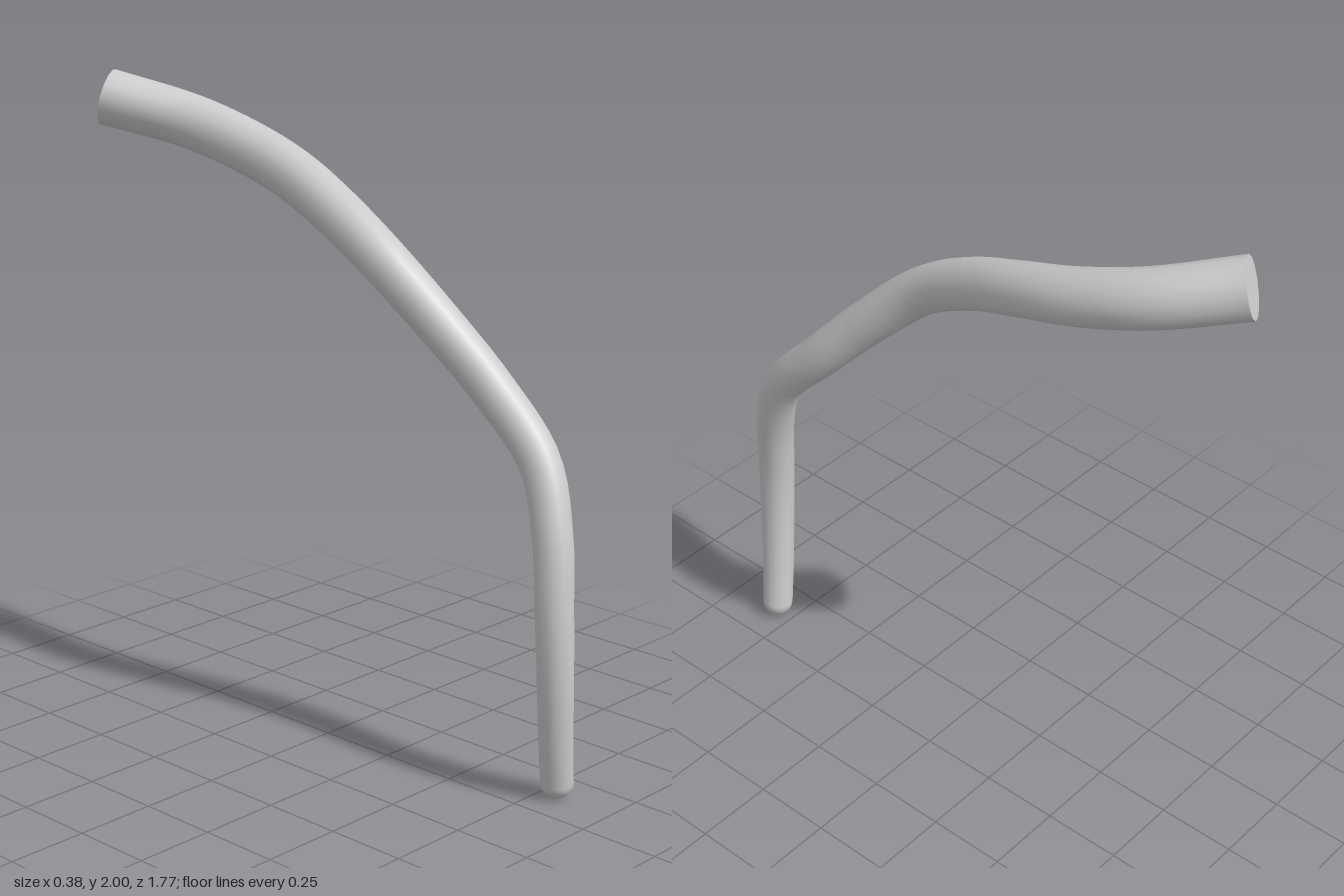
import * as THREE from 'three';

const SIDES = 14, RINGS = 64, R_TIP = 0.05, R_BASE = 0.089;

// Centre line from the rounded tip to the thick cut end
const PATH = [
  [0.12, 0.05, 0.81], [0.097, 0.2, 0.819], [0.078, 0.4, 0.826], [0.075, 0.6, 0.818],
  [0.094, 0.8, 0.79], [0.121, 1.0, 0.715], [0.112, 1.18, 0.55], [0.068, 1.34, 0.4],
  [0.021, 1.525, 0.2], [0.033, 1.64, 0], [0.06, 1.722, -0.2], [0.063, 1.786, -0.4],
  [0.018, 1.85, -0.61], [-0.115, 1.916, -0.838],
].map((p) => new THREE.Vector3(...p));

export function createModel() {
  const group = new THREE.Group();
  const material = new THREE.MeshStandardMaterial({ color: 0xcccccc });
  const add = (name, geometry) => {
    const mesh = new THREE.Mesh(geometry, material);
    mesh.name = name;
    group.add(mesh);
    return mesh;
  };

  // Tapered bent stem: a unit tube whose rings are shrunk to the local radius
  const curve = new THREE.CatmullRomCurve3(PATH);
  const tube = new THREE.TubeGeometry(curve, RINGS, 1, SIDES, false);
  const pos = tube.attributes.position;
  const v = new THREE.Vector3();
  const spokes = [];
  for (let i = 0; i <= RINGS; i++) {
    const centre = curve.getPointAt(i / RINGS);
    const radius = THREE.MathUtils.lerp(R_TIP, R_BASE, i / RINGS);
    for (let j = 0; j <= SIDES; j++) {
      const k = i * (SIDES + 1) + j;
      v.fromBufferAttribute(pos, k).sub(centre);
      if (j === 0) spokes.push(v.clone().normalize());
      v.multiplyScalar(radius).add(centre);
      pos.setXYZ(k, v.x, v.y, v.z);
    }
  }
  add('stem', tube);

  // Rounded tip, lined up with the first ring
  const tip = add('roundedTip', new THREE.SphereGeometry(R_TIP, SIDES, 6, 0, Math.PI * 2, 0, Math.PI / 2));
  const down = curve.getTangentAt(0).negate();
  const basis = new THREE.Matrix4().makeBasis(spokes[0], down, spokes[0].clone().cross(down));
  tip.quaternion.setFromRotationMatrix(basis);
  tip.position.copy(curve.getPointAt(0));

  // Flat cut end, lined up with the last ring
  const cap = add('flatEnd', new THREE.CircleGeometry(R_BASE, SIDES));
  const out = curve.getTangentAt(1);
  basis.makeBasis(spokes[RINGS], out.clone().cross(spokes[RINGS]), out);
  cap.quaternion.setFromRotationMatrix(basis);
  cap.position.copy(curve.getPointAt(1));

  return group;
}
